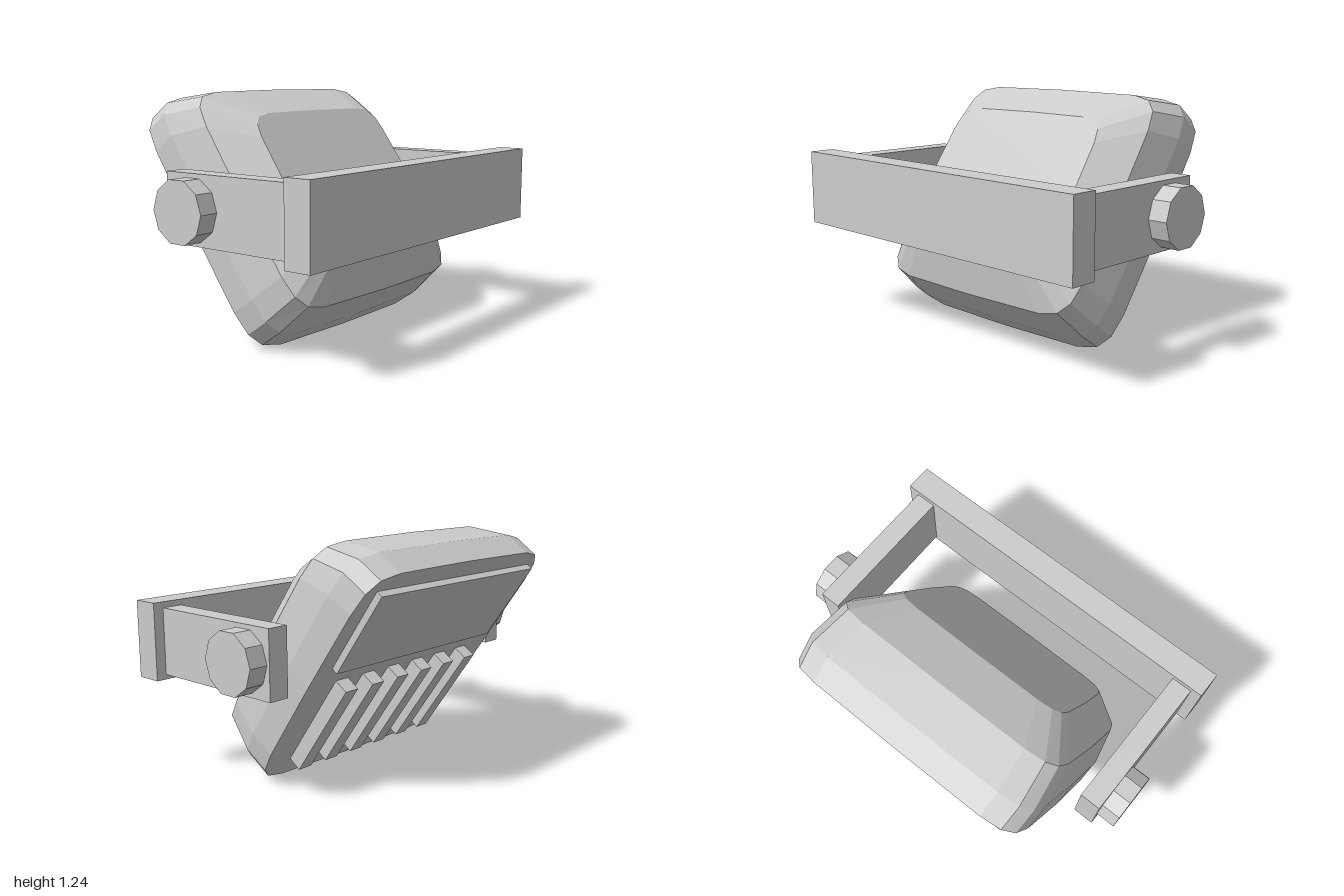
import * as THREE from 'three';

const grey = new THREE.MeshStandardMaterial({ color: 0xcccccc, flatShading: true });
grey.name = 'light grey';

// Closed, faceted shell lofted through loops of points (counter-clockwise seen from +z)
function loft(rings) {
  const pos = [], index = [], n = rings[0].length;
  rings.forEach(r => r.forEach(p => pos.push(...p)));
  for (let k = 0; k < rings.length - 1; k++) {
    for (let i = 0; i < n; i++) {
      const j = (i + 1) % n;
      const a = k * n + i, b = k * n + j, c = b + n, d = a + n;
      index.push(a, b, c, a, c, d);
    }
  }
  const last = (rings.length - 1) * n;
  for (let i = 1; i < n - 1; i++) {
    index.push(0, i + 1, i);
    index.push(last, last + i, last + i + 1);
  }
  const g = new THREE.BufferGeometry();
  g.setAttribute('position', new THREE.Float32BufferAttribute(pos, 3));
  g.setIndex(index);
  const flat = g.toNonIndexed();
  flat.computeVertexNormals();
  return flat;
}

// One quarter of the softly rounded rectangle, as fractions of its half sizes
const quarter = [[1, 0], [0.99, 0.67], [0.96, 0.85], [0.88, 0.95], [0.72, 0.99]];

function roundedRing(halfWidth, low, high, z) {
  const q = quarter;
  const mirrored = q.slice(1).reverse();
  const unit = [
    ...q, [0, 1],
    ...mirrored.map(([x, y]) => [-x, y]),
    ...q.map(([x, y]) => [-x, -y]), [0, -1],
    ...mirrored.map(([x, y]) => [x, -y]),
  ];
  const mid = (low + high) / 2, half = (high - low) / 2;
  return unit.map(([x, y]) => [x * halfWidth, mid + y * half, z]);
}

function add(parent, name, geometry, x = 0, y = 0, z = 0) {
  const mesh = new THREE.Mesh(geometry, grey);
  mesh.name = name;
  mesh.position.set(x, y, z);
  parent.add(mesh);
  return mesh;
}

const box = (w, h, d) => new THREE.BoxGeometry(w, h, d);

export function createModel() {
  const model = new THREE.Group();
  model.name = 'floodlight';

  // Lamp head, tilted upward; its local origin is the middle of the back face
  const head = new THREE.Group();
  head.name = 'lampHead';
  head.position.set(0, 0.565, -0.275);
  head.rotation.x = -THREE.MathUtils.degToRad(35);
  model.add(head);

  add(head, 'housing', loft([
    roundedRing(0.705, -0.685, 0.688, 0),
    roundedRing(0.713, -0.685, 0.686, 0.147),
    roundedRing(0.677, -0.649, 0.583, 0.351),
    roundedRing(0.515, -0.49, 0.353, 0.498),
  ]));

  // Raised cover and cooling fins on the back
  add(head, 'backCover', box(1.21, 0.475, 0.055), 0, 0.353, -0.0075);
  for (let i = 0; i < 6; i++) {
    add(head, 'coolingFin', box(0.085, 0.568, 0.098), (i - 2.5) * 0.19, -0.272, -0.029);
  }

  // Mounting bracket: cross bar, two arms and ten-sided pivot knobs
  const bracket = new THREE.Group();
  bracket.name = 'bracket';
  model.add(bracket);
  add(bracket, 'crossBar', box(1.91, 0.395, 0.14), 0, 0.7125, 0.6);
  for (const side of [1, -1]) {
    const label = side > 0 ? 'left' : 'right';
    add(bracket, label + 'Arm', box(0.11, 0.34, 0.77), side * 0.845, 0.71, 0.145);
    const knob = new THREE.CylinderGeometry(0.155, 0.155, 0.1, 10).rotateZ(Math.PI / 2);
    add(bracket, label + 'Knob', knob, side * 0.95, 0.71, -0.07);
  }
  return model;
}
